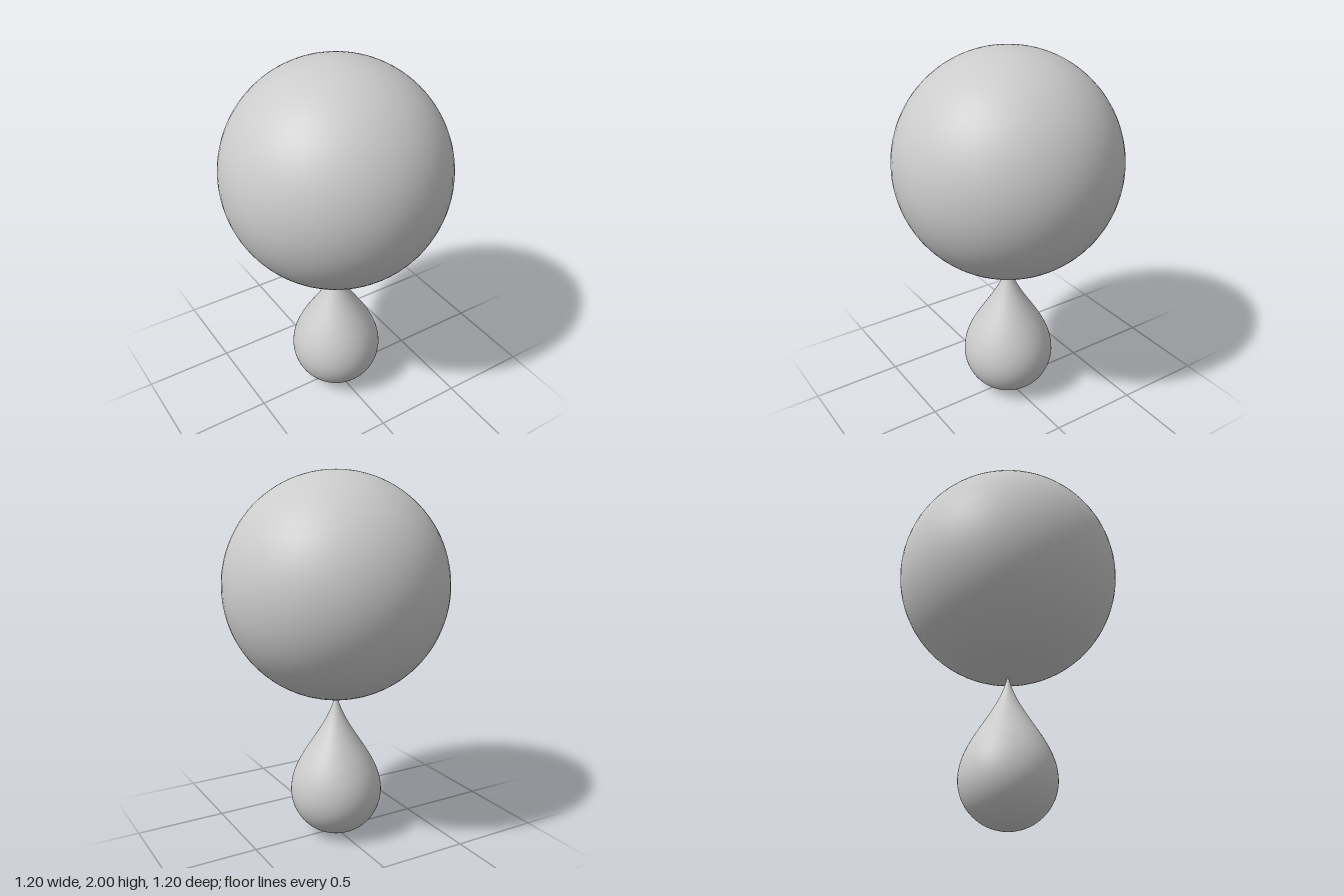
import * as THREE from 'three';

export function createModel() {
  const group = new THREE.Group();
  const material = new THREE.MeshStandardMaterial({ color: 0xcccccc });

  // Large ball on top
  const ball = new THREE.Mesh(new THREE.SphereGeometry(0.6, 64, 48), material);
  ball.name = 'ball';
  ball.position.y = 1.4;
  group.add(ball);

  // Teardrop below: rounded base, then an S-curve up to a fine tip
  const radius = 0.253;
  const profile = [];
  for (let i = 0; i < 20; i++) {
    const a = (i / 20) * Math.PI / 2;
    profile.push(new THREE.Vector2(radius * Math.sin(a), 0.25 * (1 - Math.cos(a))));
  }
  const neck = new THREE.CubicBezierCurve(
    new THREE.Vector2(radius, 0.25),
    new THREE.Vector2(radius, 0.45),
    new THREE.Vector2(0.045, 0.59),
    new THREE.Vector2(0, 0.82)
  );
  profile.push(...neck.getPoints(32));
  const drop = new THREE.Mesh(new THREE.LatheGeometry(profile, 64), material);
  drop.name = 'teardrop';
  group.add(drop);

  return group;
}
